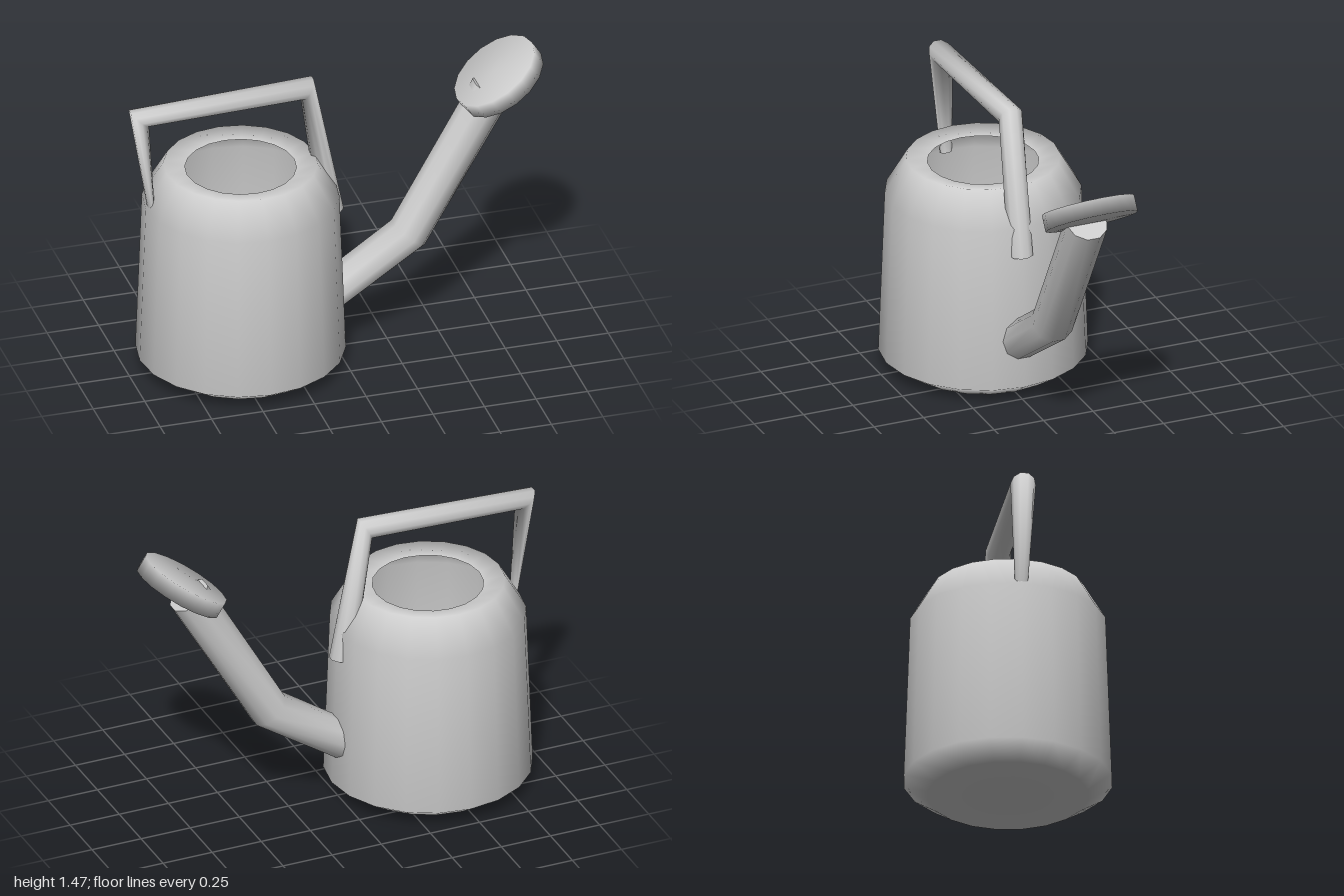
import * as THREE from 'three';

const metal = new THREE.MeshStandardMaterial({ color: 0xcccccc, side: THREE.DoubleSide });
metal.name = 'light grey metal';

function lathe(name, profile, sides) {
  const points = profile.map(([r, y]) => new THREE.Vector2(r, y));
  const mesh = new THREE.Mesh(new THREE.LatheGeometry(points, sides), metal);
  mesh.name = name;
  return mesh;
}

// Bent tube in the z = 0 plane. Each ring is [innerX, innerY, outerX, outerY, halfWidthZ].
function bentTube(name, rings, sides = 10) {
  const positions = [], index = [];
  const reach = Math.sin(Math.PI * 0.4);
  const addRing = ([ix, iy, ox, oy, rz]) => {
    const first = positions.length / 3;
    for (let j = 0; j < sides; j++) {
      const t = (j / sides) * Math.PI * 2;
      const s = Math.sin(t) / reach / 2;
      positions.push((ix + ox) / 2 + (ox - ix) * s, (iy + oy) / 2 + (oy - iy) * s, rz * Math.cos(t));
    }
    return first;
  };
  const starts = rings.map(addRing);
  for (let i = 0; i < rings.length - 1; i++) {
    for (let j = 0; j < sides; j++) {
      const k = (j + 1) % sides;
      const a = starts[i], b = starts[i + 1];
      index.push(a + j, b + j, b + k, a + j, b + k, a + k);
    }
  }
  // Separate end caps keep the cut ends crisp
  const head = addRing(rings[0]);
  const tail = addRing(rings[rings.length - 1]);
  for (let j = 1; j < sides - 1; j++) {
    index.push(head, head + j, head + j + 1, tail, tail + j + 1, tail + j);
  }
  const geometry = new THREE.BufferGeometry();
  geometry.setAttribute('position', new THREE.Float32BufferAttribute(positions, 3));
  geometry.setIndex(index);
  geometry.computeVertexNormals();
  const mesh = new THREE.Mesh(geometry, metal);
  mesh.name = name;
  return mesh;
}

export function createModel() {
  const group = new THREE.Group();
  group.name = 'wateringCan';

  // Open-topped body with chamfered base, sloped shoulder and inward lip
  const body = lathe('body', [[0, 0], [0.375, 0], [0.49, 0.075], [0.46, 0.88], [0.36, 1.05], [0.26, 1.03]], 20);
  body.position.x = -0.46;
  group.add(body);

  // Spout with one elbow
  group.add(bentTube('spout', [
    [-0.02, 0.195, -0.02, 0.405, 0.1],
    [0.425, 0.49, 0.28, 0.61, 0.1],
    [0.84, 1.2, 0.675, 1.3, 0.1],
  ]));

  // Sprinkler disc, tilted on the spout's end
  const rose = lathe('sprinklerHead', [[0, -0.04], [0.22, -0.04], [0.22, 0.04], [0, 0.04]], 16);
  rose.position.set(0.793, 1.312, 0);
  rose.rotation.z = Math.atan2(0.552, 0.834);
  group.add(rose);

  // Handle: thin tapered rear leg, top bar, thick front leg
  group.add(bentTube('handle', [
    [-0.88, 0.88, -0.91, 0.88, 0.03],
    [-0.91, 1.33, -0.998, 1.41, 0.06],
    [-0.165, 1.35, -0.11, 1.45, 0.06],
    [-0.08, 0.74, 0.035, 0.74, 0.06],
  ]));

  return group;
}
